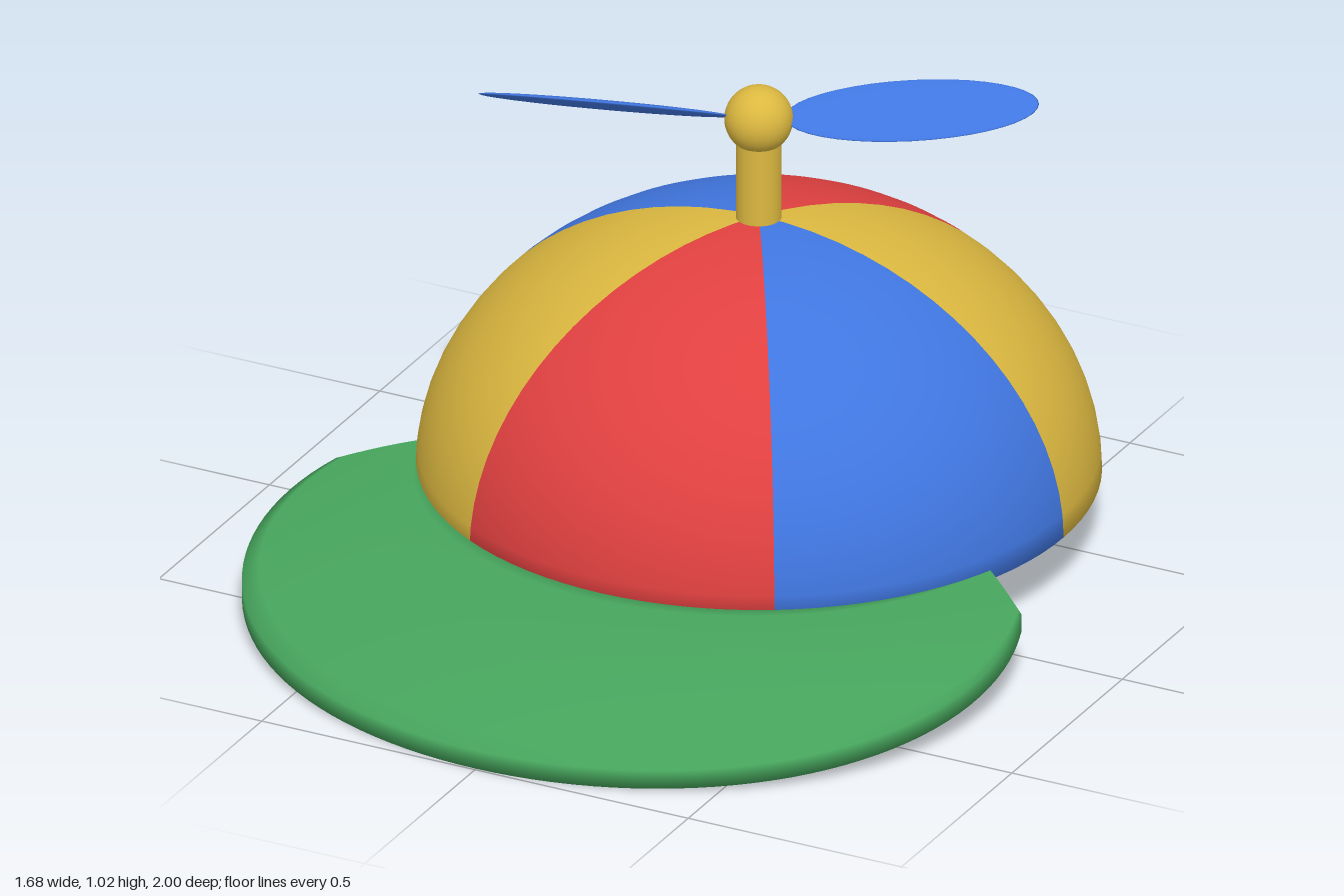
import * as THREE from 'three';

const CZ = -0.285; // z of the crown axis
const RAD = Math.PI / 180;

function material(name, color, side = THREE.FrontSide) {
  const m = new THREE.MeshStandardMaterial({ color, side });
  m.name = name;
  return m;
}

function add(parent, name, geometry, mat, x = 0, y = 0, z = 0) {
  const mesh = new THREE.Mesh(geometry, mat);
  mesh.name = name;
  mesh.position.set(x, y, z);
  parent.add(mesh);
  return mesh;
}

// Thin elliptical shell: up the inside, round the rim, up the outside
function crownProfile() {
  const inner = [], outer = [], steps = 18;
  for (let i = 0; i <= steps; i++) {
    const a = (i / steps) * Math.PI / 2;
    const c = i === steps ? 0 : Math.cos(a);
    outer.push(new THREE.Vector2(0.715 * c, 0.585 * Math.sin(a)));
    inner.push(new THREE.Vector2(0.685 * c, 0.555 * Math.sin(a)));
  }
  return [...inner.reverse(), ...outer];
}

// Crescent visor, swept from an arc under the crown to a wider elliptical edge
function visorGeometry() {
  const along = 72, across = 12, half = 0.021;
  const pos = [], idx = [];
  const ring = 2 * (across + 1);

  const section = (t) => {
    const a = t * 70.5 * RAD, b = t * 107 * RAD;
    const inner = new THREE.Vector2(0.695 * Math.sin(a), CZ + 0.695 * Math.cos(a));
    const outer = new THREE.Vector2(0.84 * Math.sin(b), 0.285 + 0.71 * Math.cos(b));
    const length = inner.distanceTo(outer);
    const points = [];
    for (let k = 0; k < ring; k++) {
      const top = k <= across;
      const s = (top ? k : ring - 1 - k) / across;
      const p = inner.clone().lerp(outer, s);
      const y = 0.14 - 0.282 * Math.pow(length * s, 1.6) + (top ? half : -half);
      points.push(p.x, y, p.y);
    }
    return points;
  };

  for (let i = 0; i <= along; i++) pos.push(...section((i / along) * 2 - 1));
  for (let i = 0; i < along; i++) {
    for (let k = 0; k < ring; k++) {
      const a = i * ring + k, b = i * ring + ((k + 1) % ring);
      idx.push(a, b, a + ring, b, b + ring, a + ring);
    }
  }
  // Flat end caps with their own vertices, for a crisp edge
  for (const end of [-1, 1]) {
    const base = pos.length / 3;
    pos.push(...section(end));
    for (let k = 0; k < across; k++) {
      const a = base + k, b = a + 1, c = base + ring - 1 - k, d = c - 1;
      if (end < 0) idx.push(a, c, b, b, c, d);
      else idx.push(a, b, c, b, d, c);
    }
  }
  const g = new THREE.BufferGeometry();
  g.setAttribute('position', new THREE.Float32BufferAttribute(pos, 3));
  g.setIndex(idx);
  g.computeVertexNormals();
  return g;
}

export function createModel() {
  const red = material('red', 0xe04040);
  const blue = material('blue', 0x4076e0);
  const yellow = material('yellow', 0xdcb840);
  const green = material('green', 0x46a45c);

  const model = new THREE.Group();
  model.name = 'propellerCap';

  // Crown: six wedge panels, the first one centred on the front
  const crown = new THREE.Group();
  crown.name = 'crown';
  crown.position.set(0, 0.14, CZ);
  model.add(crown);
  const profile = crownProfile();
  for (let i = 0; i < 6; i++) {
    const panel = new THREE.LatheGeometry(profile, 16, (i * 60 - 30) * RAD, 60 * RAD);
    add(crown, 'crownPanel', panel, [red, blue, yellow][i % 3]);
  }

  add(model, 'visor', visorGeometry(), green);

  // Propeller: stem, ball hub and two pitched blades
  const propeller = new THREE.Group();
  propeller.name = 'propeller';
  propeller.position.set(0, 0.95, CZ);
  model.add(propeller);
  add(propeller, 'stem', new THREE.CylinderGeometry(0.048, 0.048, 0.25, 32), yellow, 0, -0.125, 0);
  add(propeller, 'hub', new THREE.SphereGeometry(0.072, 32, 24), yellow);

  const bladeShape = new THREE.SphereGeometry(1, 40, 20).scale(0.266, 0.009, 0.077);
  for (let i = 0; i < 2; i++) {
    const arm = new THREE.Group();
    arm.name = 'bladeArm';
    arm.rotation.set(0, (25 + 180 * i) * RAD, 4.5 * RAD, 'YZX');
    propeller.add(arm);
    add(arm, 'blade', bladeShape, blue, 0.32, 0, 0).rotation.x = 30 * RAD;
  }
  return model;
}
